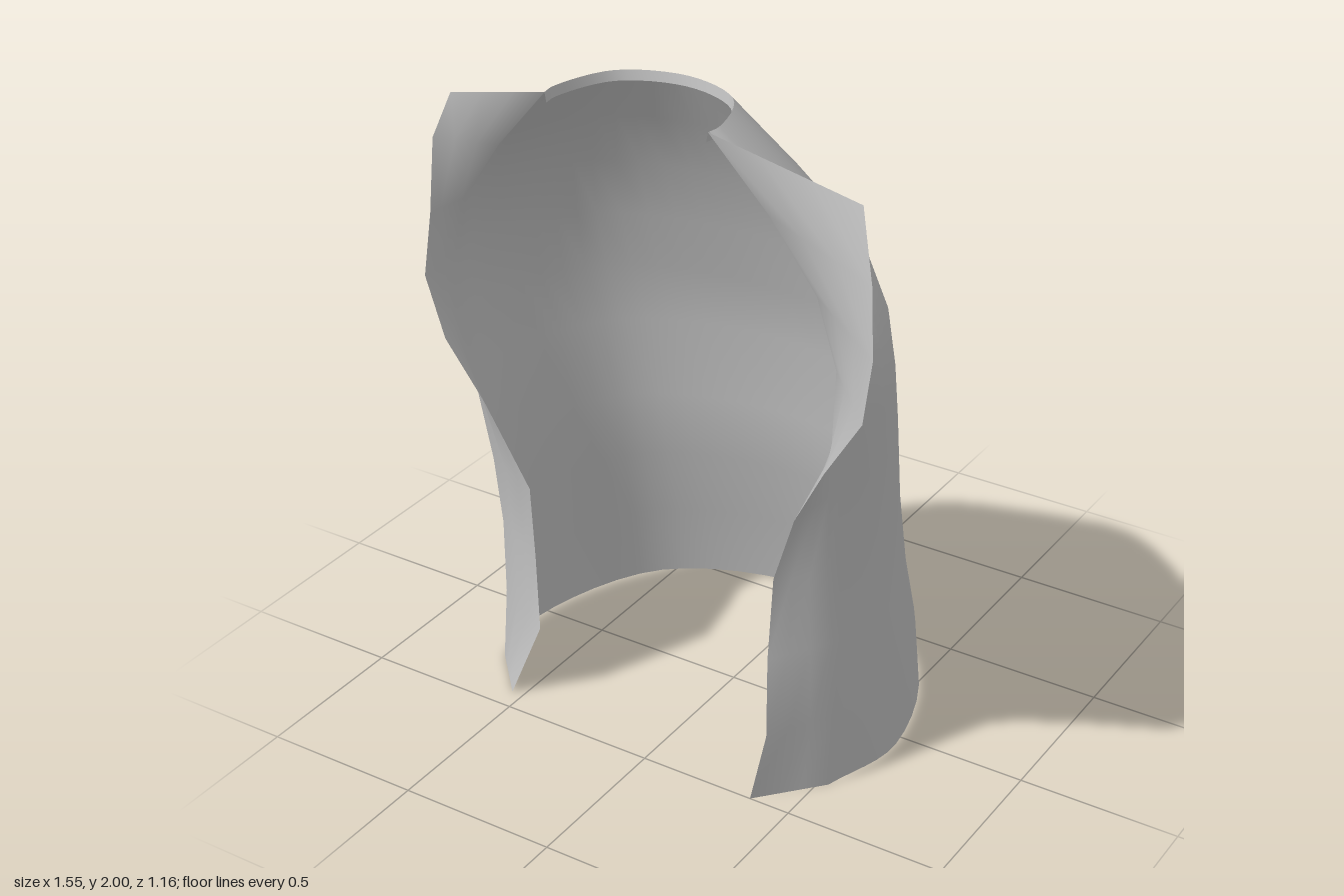
import * as THREE from 'three';

// Each level: height, right/left side x, z of the widest point, back z,
// then fold (x, z) and front edge (x, y, z) of the right and left panels.
const levels = [
  { y: 0.0, sides: [-0.72, 0.60], sz: 0.04, back: -0.58, foldR: [-0.68, 0.28], edgeR: [-0.54, 0, 0.43], foldL: [0.53, 0.32], edgeL: [0.37, 0, 0.50] },
  { y: 0.25, sides: [-0.715, 0.595], sz: 0.05, back: -0.53, foldR: [-0.66, 0.28], edgeR: [-0.445, 0.25, 0.40], foldL: [0.54, 0.32], edgeL: [0.43, 0.25, 0.51] },
  { y: 0.5, sides: [-0.71, 0.58], sz: 0.07, back: -0.45, foldR: [-0.66, 0.28], edgeR: [-0.455, 0.5, 0.395], foldL: [0.53, 0.32], edgeL: [0.42, 0.5, 0.49] },
  { y: 0.73, sides: [-0.715, 0.57], sz: 0.09, back: -0.41, foldR: [-0.67, 0.30], edgeR: [-0.47, 0.73, 0.39], foldL: [0.52, 0.33], edgeL: [0.41, 0.74, 0.445] },
  { y: 1.0, sides: [-0.74, 0.57], sz: 0.12, back: -0.39, foldR: [-0.70, 0.33], edgeR: [-0.60, 1.0, 0.42], foldL: [0.53, 0.35], edgeL: [0.49, 0.97, 0.47] },
  { y: 1.2, sides: [-0.775, 0.585], sz: 0.15, back: -0.33, foldR: [-0.72, 0.37], edgeR: [-0.70, 1.2, 0.46], foldL: [0.55, 0.36], edgeL: [0.61, 1.18, 0.52] },
  { y: 1.4, sides: [-0.76, 0.58], sz: 0.17, back: -0.26, foldR: [-0.725, 0.37], edgeR: [-0.745, 1.4, 0.48], foldL: [0.55, 0.36], edgeL: [0.755, 1.4, 0.58] },
  { y: 1.6, sides: [-0.72, 0.52], sz: 0.20, back: -0.19, foldR: [-0.70, 0.35], edgeR: [-0.72, 1.6, 0.47], foldL: [0.48, 0.35], edgeL: [0.77, 1.58, 0.56] },
  { y: 1.8, sides: [-0.58, 0.35], sz: 0.26, back: -0.075, foldR: [-0.56, 0.35], edgeR: [-0.72, 1.82, 0.44], foldL: [0.33, 0.35], edgeL: [0.735, 1.76, 0.51] },
  { y: 2.0, sides: [-0.39, 0.15], sz: 0.31, back: 0.05, foldR: [-0.385, 0.36], edgeR: [-0.68, 1.95, 0.40], foldL: [0.145, 0.36], edgeL: [0.67, 1.95, 0.45] },
];

// Curve round the back from the right fold to the left fold
function bodyRow({ y, sides, sz, back, foldR, foldL }) {
  const [xr, xl] = sides;
  const xc = (xr + xl) / 2;
  const diagonal = (x) => new THREE.Vector3(xc + (x - xc) * 0.72, y, sz + (back - sz) * 0.72);
  const curve = new THREE.CatmullRomCurve3([
    new THREE.Vector3(foldR[0], y, foldR[1]),
    new THREE.Vector3(xr, y, sz),
    diagonal(xr),
    new THREE.Vector3(xc, y, back),
    diagonal(xl),
    new THREE.Vector3(xl, y, sz),
    new THREE.Vector3(foldL[0], y, foldL[1]),
  ]);
  return curve.getPoints(36);
}

// Body curve continued to both free front edges
function fullRow(level) {
  const body = bodyRow(level);
  const edgeR = new THREE.Vector3(...level.edgeR);
  const edgeL = new THREE.Vector3(...level.edgeL);
  const right = [0, 1 / 3, 2 / 3].map((t) => edgeR.clone().lerp(body[0], t));
  const left = [1 / 3, 2 / 3, 1].map((t) => body[body.length - 1].clone().lerp(edgeL, t));
  return [...right, ...body, ...left];
}

// Surface through rows of points, facing away from the wearer
function loft(rows) {
  const n = rows[0].length;
  const index = [];
  for (let r = 0; r < rows.length - 1; r++) {
    for (let i = 0; i < n - 1; i++) {
      const a = r * n + i, b = a + 1, c = a + n, d = c + 1;
      index.push(a, c, b, b, c, d);
    }
  }
  const geometry = new THREE.BufferGeometry().setFromPoints(rows.flat());
  geometry.setIndex(index);
  geometry.computeVertexNormals();
  return geometry;
}

export function createModel() {
  const group = new THREE.Group();
  group.name = 'sleevelessVest';
  const cloth = new THREE.MeshStandardMaterial({ color: 0xc0c0c0, side: THREE.DoubleSide });
  cloth.name = 'grey cloth';

  const add = (name, geometry) => {
    const mesh = new THREE.Mesh(geometry, cloth);
    mesh.name = name;
    group.add(mesh);
  };

  // Back, sides and turned-out front panels
  add('vestShell', loft(levels.map(fullRow)));

  // Narrow hem turned down inside the neckline
  const neck = bodyRow(levels[levels.length - 1]);
  const inner = neck.map((p) => new THREE.Vector3(-0.12 + (p.x + 0.12) * 0.98, 1.97, 0.36 + (p.z - 0.36) * 0.98));
  add('neckHem', loft([inner, neck]));

  return group;
}
